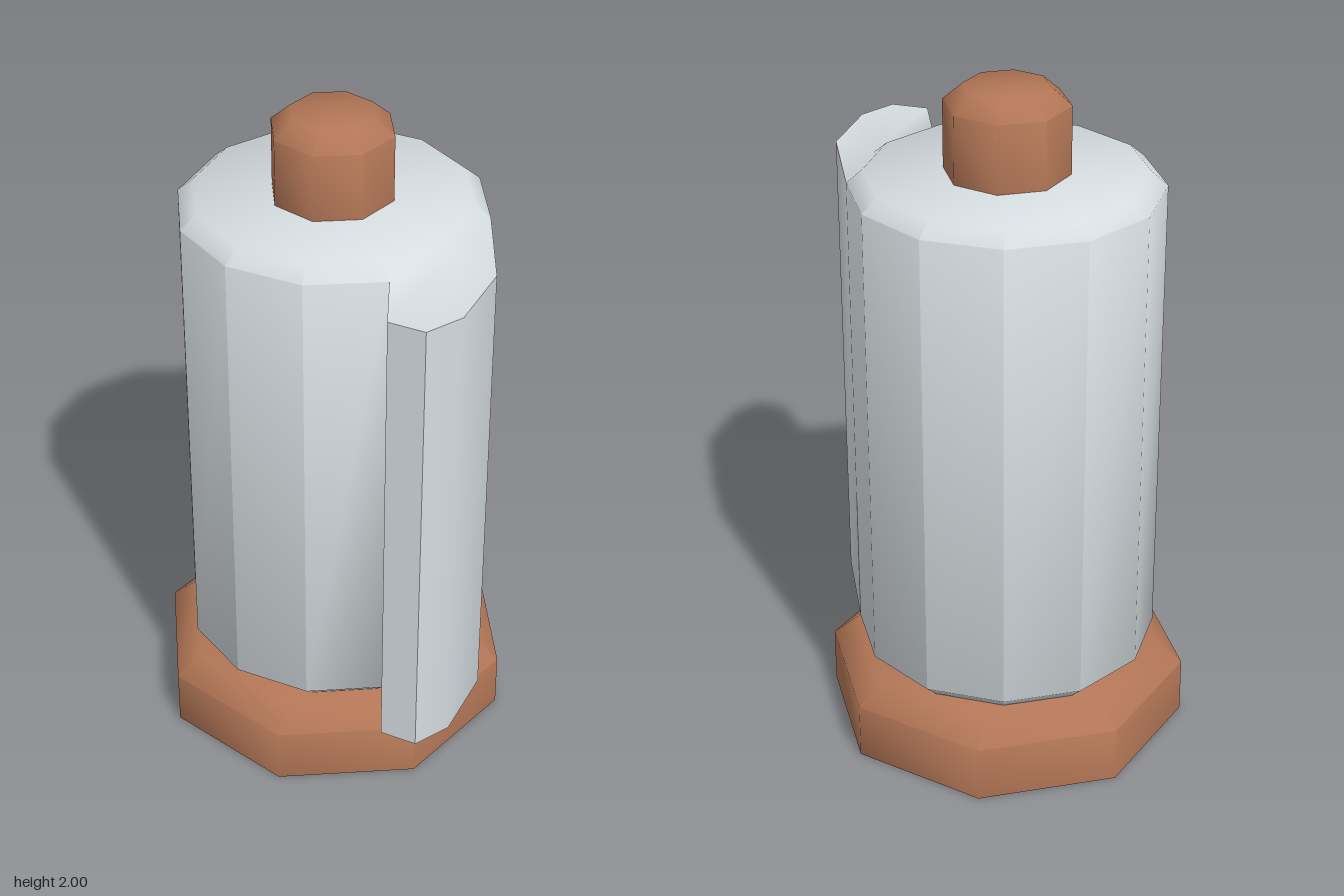
import * as THREE from 'three';
import { toCreasedNormals } from 'three/addons/utils/BufferGeometryUtils.js';

const AXIS_Z = -0.095;
const CREASE = THREE.MathUtils.degToRad(52);

// Eight-sided turned part with a bevelled top
function turned(name, profile, material) {
  const points = profile.map(([r, y]) => new THREE.Vector2(r, y));
  const lathe = new THREE.LatheGeometry(points, 8, Math.PI / 8);
  const mesh = new THREE.Mesh(toCreasedNormals(lathe, CREASE), material);
  mesh.name = name;
  mesh.position.z = AXIS_Z;
  return mesh;
}

// Twelve-sided roll whose side wall runs out into a loose sheet end
function rollGeometry() {
  const positions = [];
  const tri = (a, b, c) => positions.push(...a, ...b, ...c);
  const ring = (radius, y) => Array.from({ length: 12 }, (_, i) => {
    const angle = (i + 0.5) * Math.PI / 6;
    return [Math.sin(angle) * radius, y, AXIS_Z + Math.cos(angle) * radius];
  });
  const band = (low, high) => low.forEach((a, i) => {
    const j = (i + 1) % low.length;
    tri(a, low[j], high[j]);
    tri(a, high[j], high[i]);
  });
  const flapTip = [[0.09, 0.535], [0.185, 0.592], [0.29, 0.53], [0.405, 0.33]];

  const bottom = ring(0.4, 0.235), low = ring(0.447, 0.28);
  const high = ring(0.447, 1.71), top = ring(0.4, 1.75);

  // Bevels and end faces
  band(bottom, low);
  band(high, top);
  for (let i = 0; i < 12; i++) {
    const j = (i + 1) % 12;
    tri([0, 1.75, AXIS_Z], top[i], top[j]);
    tri([0, 0.235, AXIS_Z], bottom[j], bottom[i]);
  }

  // Side wall, replacing two roll faces by the loose end
  const wall = (r, y) => [...r.slice(2), r[0], ...flapTip.map(([x, z]) => [x, y, z])];
  band(wall(low, 0.28), wall(high, 1.71));

  // Top and bottom edges of the loose end
  const edge = (r, y) => [r[0], ...flapTip.map(([x, z]) => [x, y, z]), r[2]];
  const upper = edge(high, 1.71), lower = edge(low, 0.28);
  for (let i = 0; i < upper.length - 1; i++) {
    tri(high[1], upper[i], upper[i + 1]);
    tri(low[1], lower[i + 1], lower[i]);
  }

  const geometry = new THREE.BufferGeometry();
  geometry.setAttribute('position', new THREE.Float32BufferAttribute(positions, 3));
  return toCreasedNormals(geometry, CREASE);
}

export function createModel() {
  const wood = new THREE.MeshStandardMaterial({ color: 0xb27656 });
  wood.name = 'brown wood';
  const paper = new THREE.MeshStandardMaterial({ color: 0xd6dde1 });
  paper.name = 'pale grey paper';

  const group = new THREE.Group();
  group.name = 'paperTowelHolder';

  const roll = new THREE.Mesh(rollGeometry(), paper);
  roll.name = 'paperRoll';

  group.add(
    turned('base', [[0, 0], [0.541, 0], [0.541, 0.17], [0.465, 0.235], [0, 0.235]], wood),
    roll,
    turned('knob', [[0.18, 1.74], [0.18, 1.95], [0.122, 2], [0, 2]], wood),
  );
  return group;
}
